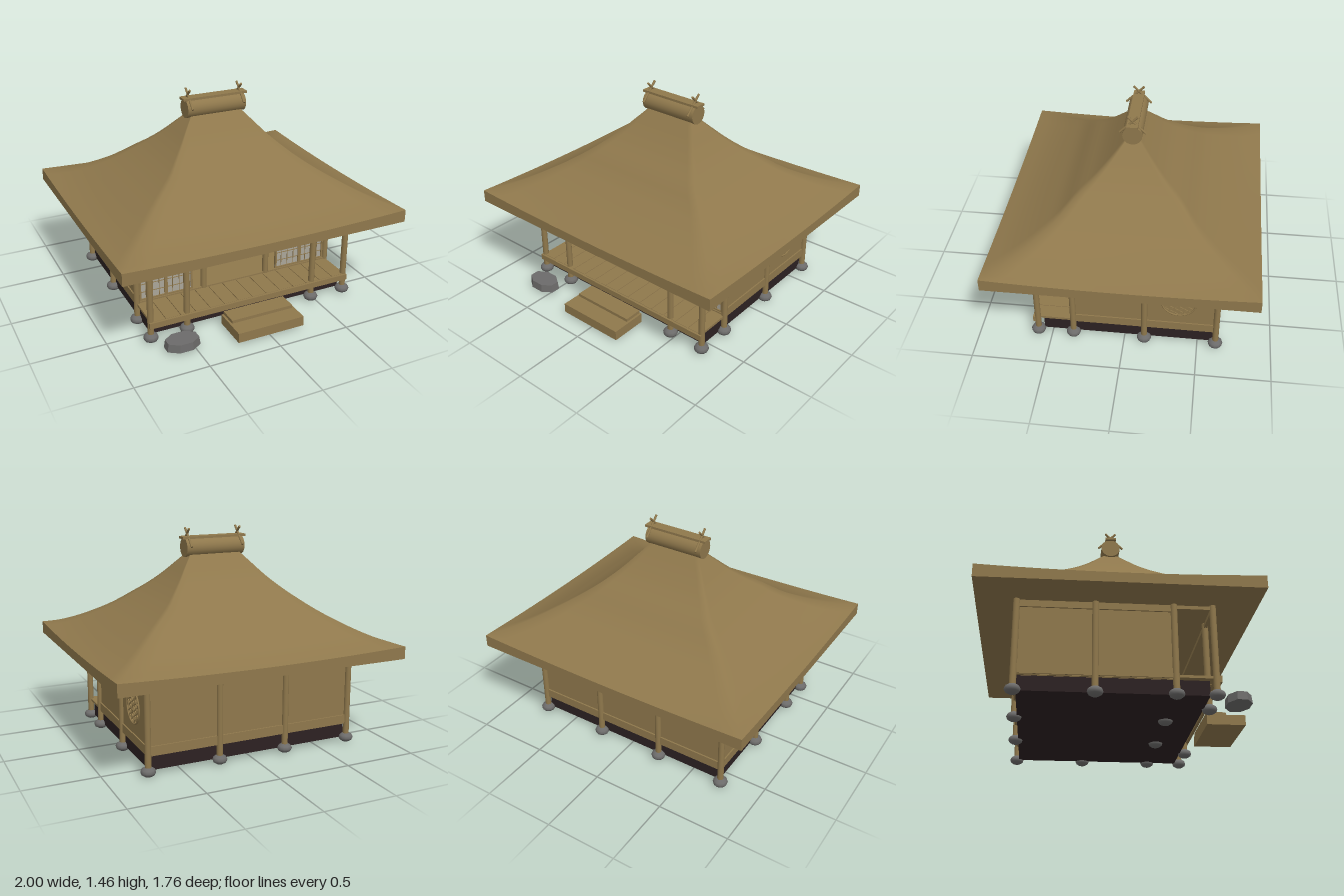
import * as THREE from 'three';

const mat = (name, color, side = THREE.FrontSide) => {
  const m = new THREE.MeshStandardMaterial({ color, side });
  m.name = name;
  return m;
};

export function createModel() {
  const wood = mat('wood', 0x8f784c);
  const dark = mat('dark timber', 0x2c2122);
  const stone = mat('stone', 0x6c6b6a);
  const paper = mat('paper', 0xaaa598);
  const ink = mat('black lacquer', 0x15110f);
  const root = new THREE.Group();
  root.name = 'thatchedHouse';

  const add = (name, geo, m, x = 0, y = 0, z = 0, parent = root) => {
    const mesh = new THREE.Mesh(geo, m);
    mesh.name = name;
    mesh.position.set(x, y, z);
    parent.add(mesh);
    return mesh;
  };
  // box given by its limits on each axis
  const span = (name, m, x0, x1, y0, y1, z0, z1, parent = root) =>
    add(name, new THREE.BoxGeometry(x1 - x0, y1 - y0, z1 - z0), m,
      (x0 + x1) / 2, (y0 + y1) / 2, (z0 + z1) / 2, parent);
  // straight round rod between two points
  const rod = (name, m, a, b, r) => {
    const A = new THREE.Vector3(...a), B = new THREE.Vector3(...b);
    const d = B.clone().sub(A);
    const mesh = add(name, new THREE.CylinderGeometry(r, r, d.length(), 8), m);
    mesh.position.copy(A.add(B).multiplyScalar(0.5));
    mesh.quaternion.setFromUnitVectors(new THREE.Vector3(0, 1, 0), d.normalize());
    return mesh;
  };

  // ---- Thatched roof: rectangular rings following a concave profile ----
  const sag = (x, z) => 0.02 * (1 - Math.min(Math.abs(x), Math.abs(z) / 0.88) ** 2);
  const profile = new THREE.CatmullRomCurve3([
    [1, 0.71, 0.88], [0.9, 0.742, 0.768], [0.8, 0.785, 0.66], [0.7, 0.837, 0.555],
    [0.59, 0.905, 0.447], [0.46, 1.0, 0.34], [0.38, 1.07, 0.25], [0.31, 1.14, 0.175],
    [0.25, 1.21, 0.11], [0.18, 1.29, 0.04],
  ].map(p => new THREE.Vector3(...p)));
  const levels = 24, perSide = 14, count = perSide * 4;
  const corners = [[1, 1], [1, -1], [-1, -1], [-1, 1]];
  const pos = [], idx = [];
  for (let i = 0; i <= levels; i++) {
    const p = profile.getPoint(i / levels);
    const fade = Math.max(0, 1 - i / 8);
    for (let j = 0; j < count; j++) {
      const s = Math.floor(j / perSide), t = (j % perSide) / perSide;
      const a = corners[s], b = corners[(s + 1) % 4];
      const x = p.x * (a[0] + (b[0] - a[0]) * t), z = p.z * (a[1] + (b[1] - a[1]) * t);
      pos.push(x, p.y - sag(x, z) * fade, z);
      if (i < levels) {
        const k = i * count + j, n = i * count + (j + 1) % count;
        idx.push(k, n, n + count, k, n + count, k + count);
      }
    }
  }
  const thatch = new THREE.BufferGeometry();
  thatch.setAttribute('position', new THREE.Float32BufferAttribute(pos, 3));
  thatch.setIndex(idx);
  thatch.computeVertexNormals();
  add('thatchRoof', thatch, wood);

  // Thick eave edge and soffit, dipping slightly between the corners
  const eave = new THREE.BoxGeometry(2, 0.085, 1.76, perSide, 1, perSide);
  const ep = eave.attributes.position;
  for (let i = 0; i < ep.count; i++) {
    if (ep.getY(i) > 0) ep.setY(i, 0.0425 - sag(ep.getX(i), ep.getZ(i)));
  }
  add('eave', eave, wood, 0, 0.6675, 0);

  // ---- Ridge roll, cap board and crossed poles ----
  const roll = add('ridgeRoll', new THREE.CylinderGeometry(0.065, 0.065, 0.43, 24), wood, 0, 1.33, 0);
  roll.rotation.z = Math.PI / 2;
  span('ridgeBoard', wood, -0.235, 0.235, 1.39, 1.406, -0.037, 0.037);
  for (const x of [-0.19, 0.19]) for (const s of [-1, 1])
    rod('crossedPole', wood, [x, 1.34, s * 0.085], [x, 1.46, -s * 0.035], 0.008);

  // ---- Posts on footing stones ----
  const footing = new THREE.SphereGeometry(0.05, 12, 6);
  footing.scale(1, 0.66, 1);
  const posts = [];
  for (const z of [0.35, -0.137, -0.623]) for (const x of [-0.73, 0.73]) posts.push([x, z]);
  for (const z of [0.35, -0.623]) for (const x of [-0.243, 0.237]) posts.push([x, z]);
  for (const x of [-0.73, -0.475, 0.47, 0.73]) posts.push([x, 0.594]);
  for (const [x, z] of posts) {
    add('footingStone', footing, stone, x, 0.034, z);
    add('post', new THREE.CylinderGeometry(0.021, 0.021, 0.575, 12), wood, x, 0.3425, z);
  }

  // ---- Floor, veranda planks and underfloor ----
  span('underfloor', dark, -0.715, 0.715, 0.032, 0.128, -0.605, 0.555);
  span('roomFloor', wood, -0.71, 0.71, 0.128, 0.155, -0.61, 0.35);
  const planks = 14, pw = 1.47 / planks;
  for (let i = 0; i < planks; i++) {
    const x = -0.735 + i * pw;
    span('verandaPlank', wood, x + 0.002, x + pw - 0.002, 0.138, 0.155, 0.352, 0.61);
  }
  span('verandaBeam', wood, -0.745, 0.745, 0.112, 0.153, 0.607, 0.626);
  span('verandaTopBeam', wood, -0.73, 0.73, 0.59, 0.615, 0.583, 0.605);
  for (const x of [-0.73, 0.73])
    span('verandaTie', wood, x - 0.01, x + 0.01, 0.595, 0.618, 0.35, 0.594);

  // ---- Side and back walls with rails ----
  for (const s of [-1, 1]) {
    const box = (name, m, a, b, y0, y1, z0, z1) =>
      span(name, m, Math.min(s * a, s * b), Math.max(s * a, s * b), y0, y1, z0, z1);
    box('sideWall', wood, 0.715, 0.727, 0.13, 0.625, -0.62, 0.35);
    box('sideLowerRail', wood, 0.715, 0.736, 0.135, 0.197, -0.62, 0.35);
    box('sideUpperRail', wood, 0.715, 0.738, 0.575, 0.595, -0.62, 0.35);
  }
  span('backWall', wood, -0.72, 0.72, 0.13, 0.625, -0.62, -0.608);
  span('backLowerRail', wood, -0.73, 0.73, 0.135, 0.197, -0.63, -0.608);
  span('backUpperRail', wood, -0.73, 0.73, 0.575, 0.595, -0.632, -0.608);

  // ---- Round lattice window on the left side wall ----
  const win = new THREE.Group();
  win.name = 'roundWindow';
  win.position.set(0.728, 0.385, -0.367);
  win.rotation.y = Math.PI / 2;
  root.add(win);
  add('windowRing', new THREE.TorusGeometry(0.115, 0.006, 8, 40), wood, 0, 0, 0.004, win);
  for (const angle of [-Math.PI / 6, Math.PI / 6, Math.PI / 2]) for (let k = -3; k <= 3; k++) {
    const d = k * 0.032;
    const bar = add('windowBar', new THREE.BoxGeometry(2 * Math.sqrt(0.113 ** 2 - d * d), 0.004, 0.006),
      wood, -Math.sin(angle) * d, Math.cos(angle) * d, 0.002, win);
    bar.rotation.z = angle;
  }

  // ---- Front: lintel, sill and paper screens ----
  span('lintel', wood, -0.73, 0.73, 0.575, 0.625, 0.335, 0.362);
  span('sill', wood, -0.73, 0.73, 0.15, 0.165, 0.335, 0.362);
  const screen = (x0, x1) => {
    const g = new THREE.Group();
    g.name = 'paperScreen';
    root.add(g);
    span('screenPaper', paper, x0, x1, 0.165, 0.575, 0.340, 0.346, g);
    for (const [a, b] of [[x0, x0 + 0.012], [x1 - 0.012, x1]])
      span('screenStile', wood, a, b, 0.165, 0.575, 0.336, 0.354, g);
    for (const y of [0.165, 0.565])
      span('screenRail', wood, x0, x1, y, y + 0.01, 0.336, 0.354, g);
    for (let i = 1; i < 4; i++) {
      const x = x0 + (x1 - x0) * i / 4;
      span('screenBar', wood, x - 0.002, x + 0.002, 0.165, 0.575, 0.345, 0.35, g);
    }
    for (let i = 1; i < 7; i++) {
      const y = 0.165 + 0.41 * i / 7;
      span('screenBar', wood, x0, x1, y - 0.002, y + 0.002, 0.345, 0.35, g);
    }
  };
  screen(-0.71, -0.52);
  screen(-0.52, -0.325);
  screen(0.318, 0.515);
  screen(0.515, 0.71);

  // ---- Dim room with an alcove, hanging scroll and vase ----
  span('roomBack', dark, -0.71, 0.71, 0.155, 0.62, -0.606, -0.5);
  span('alcovePanel', wood, -0.30, 0.105, 0.155, 0.62, -0.5, -0.42);
  span('alcoveShelf', wood, -0.23, 0.105, 0.155, 0.185, -0.42, -0.3);
  span('hangingScroll', paper, -0.17, -0.033, 0.305, 0.54, -0.42, -0.414);
  for (const y of [0.303, 0.54])
    rod('scrollRod', wood, [-0.185, y, -0.415], [-0.018, y, -0.415], 0.005);
  const vase = [[0, 0], [0.017, 0], [0.019, 0.02], [0.011, 0.045], [0.014, 0.062]]
    .map(p => new THREE.Vector2(...p));
  add('vase', new THREE.LatheGeometry(vase, 14), ink, 0.01, 0.186, -0.36);
  const twig = new THREE.CatmullRomCurve3([
    new THREE.Vector3(0.01, 0.23, -0.36), new THREE.Vector3(0.022, 0.285, -0.36),
    new THREE.Vector3(0.045, 0.315, -0.36), new THREE.Vector3(0.08, 0.335, -0.36)]);
  add('branch', new THREE.TubeGeometry(twig, 10, 0.004, 6), wood);

  // ---- Wooden entrance steps and shoe stone ----
  span('lowerStep', wood, -0.24, 0.24, 0.02, 0.088, 0.625, 0.88);
  span('upperStep', wood, -0.225, 0.225, 0.088, 0.11, 0.628, 0.755);
  const slab = new THREE.CylinderGeometry(0.93, 1, 1, 8, 1).toNonIndexed();
  slab.rotateY(Math.PI / 8);
  slab.scale(0.123, 0.055, 0.083);
  slab.computeVertexNormals();
  add('shoeStone', slab, stone, -0.58, 0.053, 0.755);

  return root;
}
